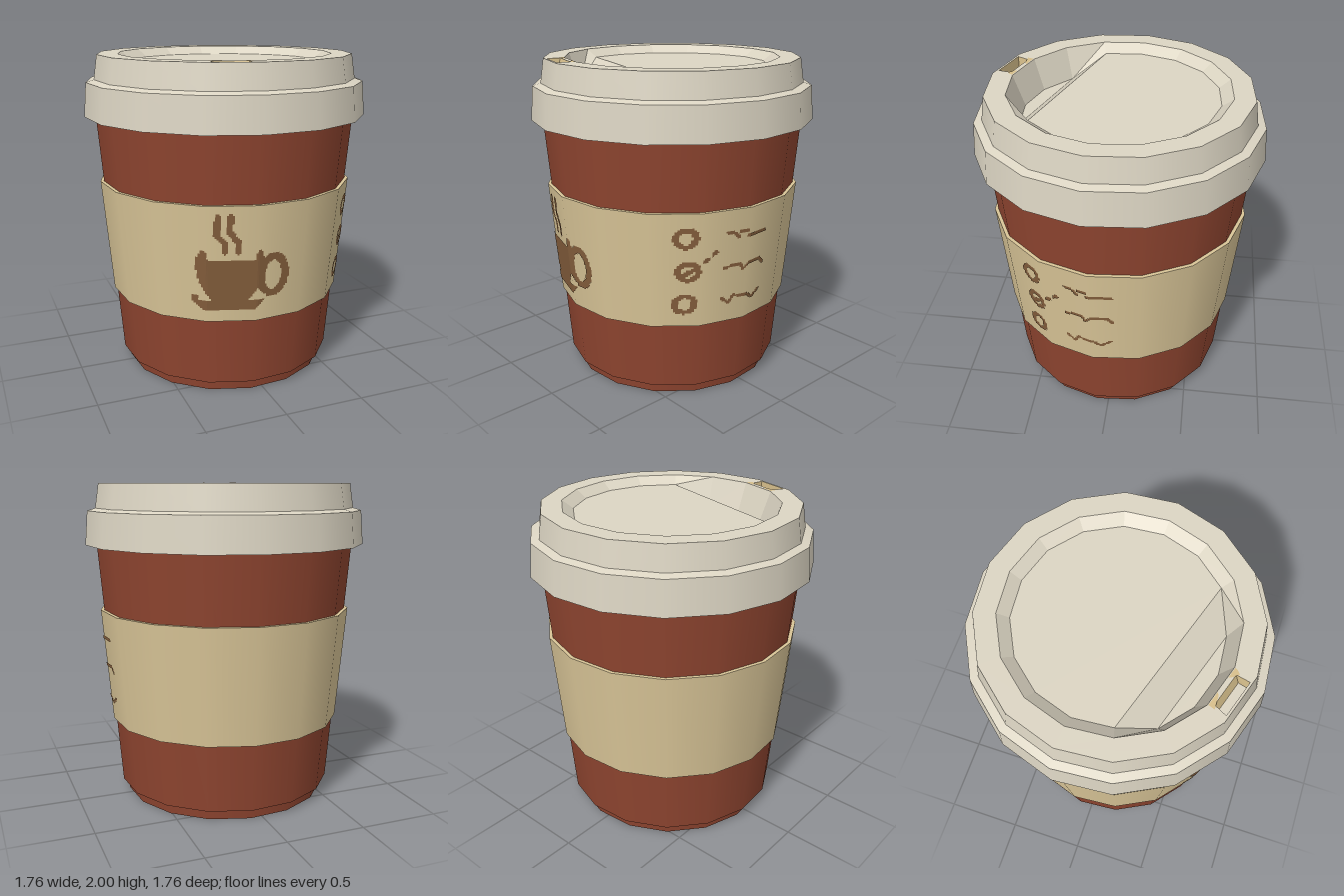
import * as THREE from 'three';
import { mergeGeometries } from 'three/addons/utils/BufferGeometryUtils.js';

const SIDES = 16, STEP = Math.PI * 2 / SIDES;
const PHI0 = THREE.MathUtils.degToRad(-6.6);   // angle of the first corner
const MOUTH = PHI0 - STEP / 2;                 // angle of the drinking hole

const material = (name, color) => Object.assign(new THREE.MeshStandardMaterial({ color }), { name });

// Sixteen-sided band, smooth around, with a crease at every profile point
function band(profile) {
  const parts = [];
  for (let i = 0; i < profile.length - 1; i++) {
    const pts = [profile[i], profile[i + 1]].map(p => new THREE.Vector2(...p));
    parts.push(new THREE.LatheGeometry(pts, SIDES, PHI0));
  }
  return mergeGeometries(parts);
}

// Flat polygons, each given as a loop of corners
function polygons(loops) {
  const pos = [];
  for (const loop of loops)
    for (let i = 1; i < loop.length - 1; i++)
      for (const p of [loop[0], loop[i], loop[i + 1]]) pos.push(p.x, p.y, p.z);
  const g = new THREE.BufferGeometry();
  g.setAttribute('position', new THREE.Float32BufferAttribute(pos, 3));
  g.computeVertexNormals();
  return g;
}

const corner = (k, r, y) =>
  new THREE.Vector3(r * Math.sin(PHI0 + k * STEP), y, r * Math.cos(PHI0 + k * STEP));

// Point beside the drinking hole: t along the rim, r outwards
const atMouth = (t, r, y) => new THREE.Vector3(
  r * Math.sin(MOUTH) + t * Math.cos(MOUTH), y, r * Math.cos(MOUTH) - t * Math.sin(MOUTH));

// Sleeve radius at a height
const sleeveR = y => 0.742 + (y - 0.495) / 0.72 * 0.062;

// Printed cells on the faceted sleeve wherever inside(u, y) is true, facing angle b
function printed(inside, b, u0, u1, y0, y1) {
  const cell = 0.0105, loops = [];
  const place = (u, y) => {
    let w = Infinity;
    for (let k = 0; k < SIDES; k++) {
      const a = MOUTH + k * STEP - b;
      if (Math.cos(a) > 0.1)
        w = Math.min(w, (sleeveR(y) * Math.cos(STEP / 2) - u * Math.sin(a)) / Math.cos(a));
    }
    w += 0.005;
    return new THREE.Vector3(w * Math.sin(b) + u * Math.cos(b), y, w * Math.cos(b) - u * Math.sin(b));
  };
  for (let u = u0; u < u1; u += cell)
    for (let y = y0; y < y1; y += cell)
      if (inside(u + cell / 2, y + cell / 2))
        loops.push([place(u, y), place(u + cell, y), place(u + cell, y + cell), place(u, y + cell)]);
  return polygons(loops);
}

// Distance test to a polyline, and an ellipse test
function onStroke(u, y, pts, half) {
  for (let i = 0; i < pts.length - 1; i++) {
    const [ax, ay] = pts[i], dx = pts[i + 1][0] - ax, dy = pts[i + 1][1] - ay;
    const t = THREE.MathUtils.clamp(((u - ax) * dx + (y - ay) * dy) / (dx * dx + dy * dy), 0, 1);
    if (Math.hypot(u - ax - t * dx, y - ay - t * dy) < half) return true;
  }
  return false;
}
const inEllipse = (u, y, cx, cy, rx, ry) => ((u - cx) / rx) ** 2 + ((y - cy) / ry) ** 2 < 1;

// Steaming cup picture
const STEAM = [
  [[-0.32, 1.15], [-0.325, 1.04], [-0.275, 0.99], [-0.275, 0.94]],
  [[-0.25, 1.15], [-0.255, 1.06], [-0.2, 0.99], [-0.2, 0.94]],
];
function cupPicture(u, y) {
  const d = Math.abs(u + 0.238);
  if (y < 0.89 && y > 0.625 && d < 0.19 * Math.sqrt(1 - ((0.89 - y) / 0.3) ** 2)) return true;
  if (y >= 0.89 && y < 0.945 && d > 0.13 + (y - 0.89) * 0.3 && d < 0.19 - (y - 0.89) * 0.4) return true;
  if (y > 0.57 && y < 0.635 && d < 0.14 + (y - 0.57)) return true;
  if (y >= 0.635 && y < 0.67 && d > 0.165 && d < 0.205) return u < -0.238;
  if (u > -0.1 && inEllipse(u, y, 0.01, 0.78, 0.105, 0.14) && !inEllipse(u, y, 0.01, 0.78, 0.052, 0.092))
    return true;
  return STEAM.some(s => onStroke(u, y, s, 0.018));
}

// Rings and dashes
const RINGS = [[-0.458, 1.063], [-0.437, 0.852], [-0.44, 0.643]];
const DASHES = [
  [[-0.24, 1.08], [-0.2, 1.075], [-0.16, 1.04]], [[-0.15, 1.075], [-0.11, 1.075]],
  [[-0.1, 1.045], [0.045, 1.04]],
  [[-0.24, 0.855], [-0.14, 0.87], [-0.12, 0.83], [-0.08, 0.868], [0.02, 0.862], [0.05, 0.83]],
  [[-0.24, 0.66], [-0.195, 0.62], [-0.165, 0.662], [-0.07, 0.65], [-0.02, 0.62], [0.035, 0.66]],
  [[-0.47, 0.815], [-0.4, 0.88]], [[-0.36, 0.915], [-0.34, 0.93]], [[-0.31, 0.955], [-0.295, 0.967]],
];
const tickList = (u, y) =>
  RINGS.some(([cx, cy]) => inEllipse(u, y, cx, cy, 0.06, 0.068) && !inEllipse(u, y, cx, cy, 0.03, 0.038)) ||
  DASHES.some((s, i) => onStroke(u, y, s, i > 4 ? 0.013 : 0.01));

export function createModel() {
  const group = new THREE.Group();
  group.name = 'takeawayCup';
  const lidMat = material('lidCream', 0xdcd5c3);
  const cupMat = material('cupRed', 0x8f4530);
  const sleeveMat = material('sleeveTan', 0xdac698);
  const printMat = material('printBrown', 0x845e3c);
  const stainMat = material('coffeeStain', 0xd8c08c);
  const add = (name, geometry, mat) => {
    const mesh = new THREE.Mesh(geometry, mat);
    mesh.name = name;
    group.add(mesh);
  };

  // Cup with a stepped foot, and its base
  add('cupBody', band([[0.65, 0], [0.656, 0.055], [0.69, 0.068], [0.818, 1.66]]), cupMat);
  add('cupBase', band([[0, 0], [0.65, 0]]), lidMat);

  // Cardboard sleeve with prints
  add('sleeve', band([[0.72, 0.495], [0.742, 0.495], [0.804, 1.215], [0.77, 1.215]]), sleeveMat);
  add('cupPrint', printed(cupPicture, 0, -0.46, 0.13, 0.56, 1.18), printMat);
  add('listPrint', printed(tickList, Math.PI / 2, -0.53, 0.07, 0.56, 1.14), printMat);

  // Lid skirt, ledge and wall
  add('lidSide', band([[0.8, 1.625], [0.885, 1.625], [0.868, 1.835], [0.818, 1.85], [0.795, 2]]), lidMat);

  // Lid rim with the drinking hole cut out
  const hole = [[-0.107, 0.685], [0.097, 0.685], [0.105, 0.766], [-0.12, 0.766]];
  const flat = points => points.map(p => new THREE.Vector2(p.x, -p.z));
  const ring = (r, y) => Array.from({ length: SIDES }, (_, k) => corner(k, r, y));
  const rim = new THREE.Shape(flat(ring(0.795, 2)));
  rim.holes.push(new THREE.Path(flat(ring(0.668, 2))));
  rim.holes.push(new THREE.Path(flat(hole.map(([t, r]) => atMouth(t, r, 2)))));
  add('lidRim', new THREE.ShapeGeometry(rim).rotateX(-Math.PI / 2).translate(0, 2, 0), lidMat);

  // Sunken lid top, dipping towards the drinking hole
  const isDip = k => [14, 15, 0, 1].includes(k % SIDES);
  const low = k => corner(k, 0.6, isDip(k) ? 1.81 : 1.95);
  const wall = [], floor = [];
  for (let k = 0; k < SIDES; k++)
    wall.push([corner(k, 0.668, 2), corner(k + 1, 0.668, 2), low(k + 1), low(k)]);
  for (let k = 2; k <= 13; k++) floor.push(low(k));
  add('lidRecessWall', polygons(wall), lidMat);
  add('lidRecessFloor', polygons([
    floor,
    [low(13), low(14), low(1), low(2)],
    [low(14), low(15), low(0), low(1)],
  ]), lidMat);

  // Drinking hole walls and floor
  const inner = [[-0.107, 0.712], [0.097, 0.712], [0.1, 0.762], [-0.116, 0.762]];
  const top = hole.map(([t, r]) => atMouth(t, r, 2));
  const bottom = inner.map(([t, r]) => atMouth(t, r, 1.92));
  const sides = top.map((p, i) => {
    const j = (i + 1) % 4;
    return [p, bottom[i], bottom[j], top[j]];
  });
  // Corners run inner edge first, so reverse each loop to face into the hole
  add('holeWalls', polygons(sides.map(s => orient(s, atMouth(0, 0.73, 1.97)))), stainMat);
  add('holeFloor', polygons([orient(bottom, atMouth(0, 0.73, 2.5))]), lidMat);

  // Coffee stains beside the hole
  const stains = [
    [[-0.128, 0.66], [-0.04, 0.66], [-0.055, 0.675], [-0.085, 0.684], [-0.112, 0.684], [-0.128, 0.7]],
    [[0.06, 0.66], [0.128, 0.66], [0.122, 0.68], [0.108, 0.7], [0.1, 0.684], [0.075, 0.678]],
  ].map(s => orient(s.map(([t, r]) => atMouth(t, r, 2.002)), atMouth(0, 0.7, 3)));
  add('rimStains', polygons(stains), stainMat);

  return group;
}

// Order a loop so that its face looks towards a point
function orient(loop, target) {
  const n = new THREE.Vector3().subVectors(loop[1], loop[0])
    .cross(new THREE.Vector3().subVectors(loop[2], loop[0]));
  return n.dot(new THREE.Vector3().subVectors(target, loop[0])) < 0 ? [...loop].reverse() : loop;
}
